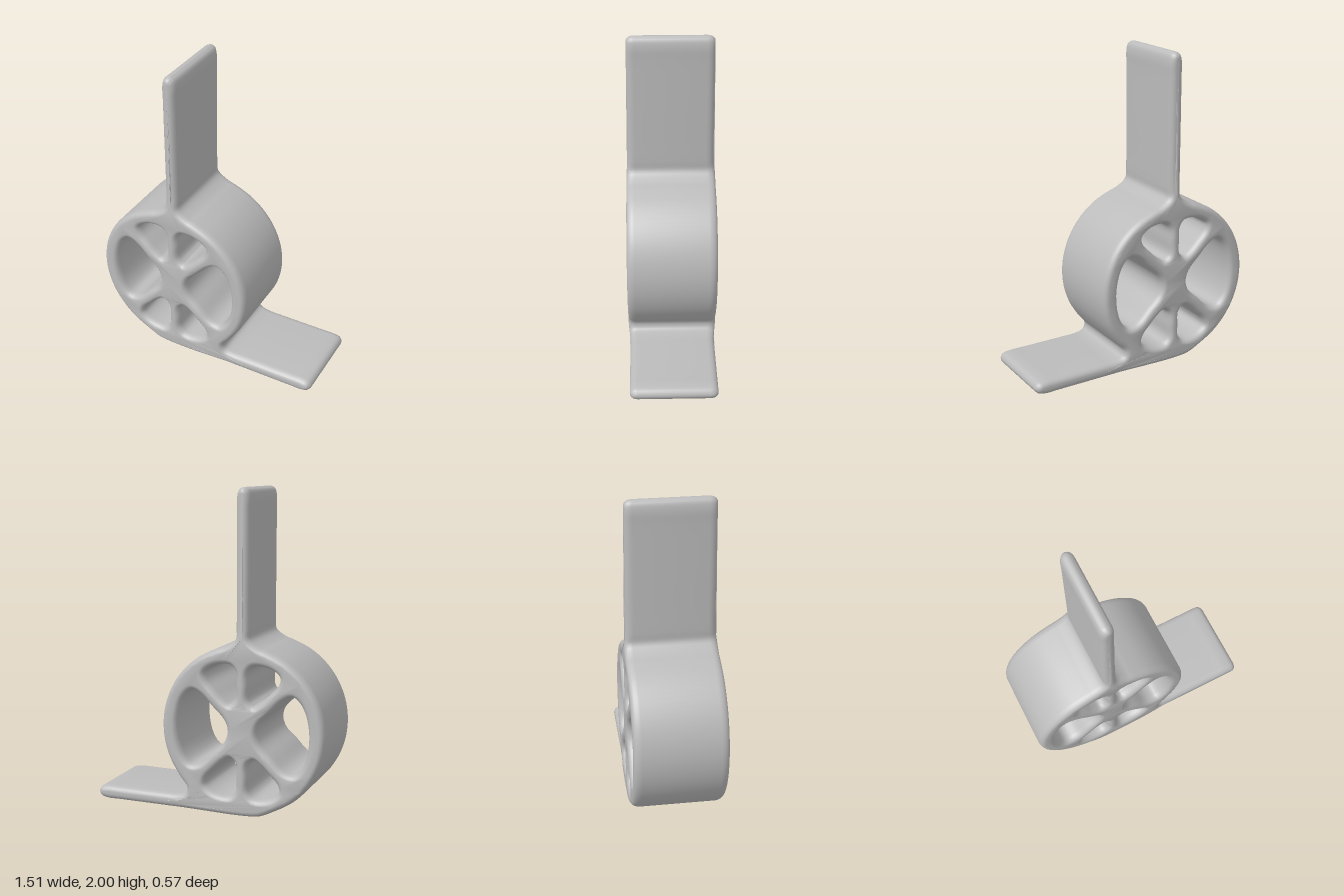
import * as THREE from 'three';
import { toCreasedNormals } from 'three/addons/utils/BufferGeometryUtils.js';

const CX = -0.235, CY = 0.535, R = 0.525;   // wheel centre and outer radius
const HALF = 0.285, BEVEL = 0.05;           // half depth and edge rounding

// Smooth closed loop through a few control points
function loop(points, steps) {
  const curve = new THREE.CatmullRomCurve3(
    points.map(([x, y]) => new THREE.Vector3(x, y, 0)), true, 'centripetal');
  return curve.getPoints(points.length * steps).slice(0, -1)
    .map(p => new THREE.Vector2(p.x, p.y));
}

// Points on the wheel rim between two angles in degrees
function arc(from, to, count) {
  return Array.from({ length: count + 1 }, (_, i) => {
    const a = THREE.MathUtils.degToRad(from + (to - from) * i / count);
    return [CX + R * Math.cos(a), CY + R * Math.sin(a)];
  });
}

const flipX = pts => pts.map(([x, y]) => [2 * CX - x, y]);
const flipY = pts => pts.map(([x, y]) => [x, 1.06 - y]);

export function createModel() {
  const group = new THREE.Group();
  const grey = new THREE.MeshStandardMaterial({ color: 0xbbbbbb });
  grey.name = 'plain grey';

  // Right half of the upright blade, from its filleted neck to the rounded tip
  const blade = [[-0.13, 1.055], [-0.19, 1.1], [-0.192, 1.17], [-0.192, 1.5],
    [-0.192, 1.85], [-0.192, 1.94], [-0.205, 1.985]];

  // Outline: foot plate, right rim, blade, left rim, flat underside
  const outline = [
    [0, 0], [0.3, 0], [0.6, 0], [0.69, 0], [0.737, 0.013], [0.755, 0.045],
    [0.737, 0.077], [0.69, 0.088], [0.6, 0.088], [0.3, 0.088], [0.19, 0.09],
    [0.14, 0.105], [0.13, 0.145],
    ...arc(-38, 72, 8),
    ...blade, [CX, 2], ...flipX(blade).reverse(),
    ...arc(108, 246, 10),
    [-0.35, 0.01], [-0.25, 0],
  ];

  // Openings between the six spokes
  const side = [[-0.33, 0.53], [-0.35, 0.595], [-0.425, 0.672], [-0.5, 0.745],
    [-0.56, 0.77], [-0.62, 0.71], [-0.658, 0.54], [-0.63, 0.37],
    [-0.575, 0.3], [-0.505, 0.312], [-0.425, 0.388], [-0.35, 0.462]];
  const upper = [[-0.475, 0.885], [-0.415, 0.93], [-0.31, 0.94], [-0.275, 0.9],
    [-0.273, 0.82], [-0.275, 0.73], [-0.31, 0.697], [-0.355, 0.722],
    [-0.41, 0.775], [-0.465, 0.835]];
  const openings = [side, flipX(side), upper, flipX(upper),
    flipY(upper), flipX(flipY(upper))];

  const shape = new THREE.Shape(loop(outline, 4));
  for (const o of openings) shape.holes.push(new THREE.Path(loop(o, 4)));

  // Round the front and back edges inside the outline
  const depth = 2 * (HALF - BEVEL);
  const geometry = new THREE.ExtrudeGeometry(shape, {
    depth, steps: 1, bevelEnabled: true, bevelThickness: BEVEL,
    bevelSize: 0.034, bevelOffset: -0.034, bevelSegments: 5,
  });
  geometry.translate(0, 0, -depth / 2);

  // The blade and foot are slightly narrower than the wheel
  const pos = geometry.attributes.position;
  for (let i = 0; i < pos.count; i++) {
    const d = Math.hypot(pos.getX(i) - CX, pos.getY(i) - CY);
    pos.setZ(i, pos.getZ(i) * (1 - 0.045 * THREE.MathUtils.smoothstep(d, 0.52, 0.66)));
  }

  const mesh = new THREE.Mesh(toCreasedNormals(geometry, 0.9), grey);
  mesh.name = 'spokedWheelWithBladeAndFoot';
  group.add(mesh);
  return group;
}
